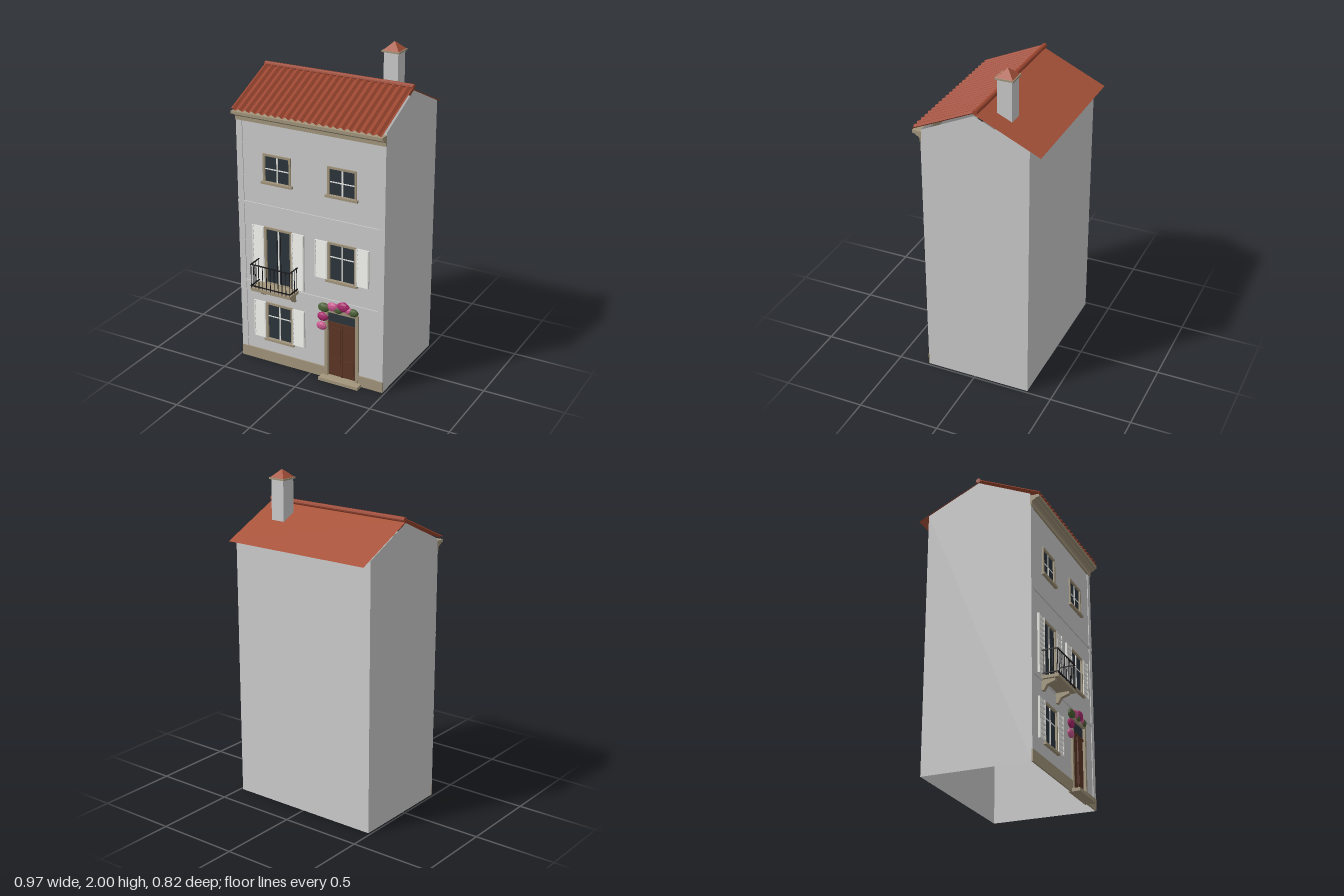
import * as THREE from 'three';

const mat = (color, extra = {}) => new THREE.MeshStandardMaterial({ color, flatShading: true, ...extra });
const wall = mat(0xcccccc, { side: THREE.DoubleSide });
const plaster = mat(0xcccccc);
const white = mat(0xe6e6e2);
const stone = mat(0xa3967c);
const glass = mat(0x2b353d);
const wood = mat(0x5c3624);
const iron = mat(0x1b1b1e);
const clay = mat(0xa8533a, { side: THREE.DoubleSide });
const tile = mat(0x9c4630, { side: THREE.DoubleSide });

const HW = 0.485, FRONT = 0.305, BACK = -0.345, EAVE = 1.62, RIDGE = 1.77, RZ = -0.02;

function add(parent, name, geo, material, x = 0, y = 0, z = 0) {
  const m = new THREE.Mesh(geo, material);
  m.name = name;
  m.position.set(x, y, z);
  parent.add(m);
  return m;
}

// Box given by its limits on each axis
function box(parent, name, material, x0, x1, y0, y1, z0, z1) {
  return add(parent, name, new THREE.BoxGeometry(x1 - x0, y1 - y0, z1 - z0), material,
    (x0 + x1) / 2, (y0 + y1) / 2, (z0 + z1) / 2);
}

function group(parent, name) {
  const g = new THREE.Group();
  g.name = name;
  parent.add(g);
  return g;
}

const rect = (C, x0, x1, y0, y1) => new C([[x0, y0], [x1, y0], [x1, y1], [x0, y1]].map(p => new THREE.Vector2(...p)));

// Extrude a (z, y) outline along x
function alongX(points, x0, x1) {
  const s = new THREE.Shape(points.map(([z, y]) => new THREE.Vector2(-z, y)));
  return new THREE.ExtrudeGeometry(s, { depth: x1 - x0, bevelEnabled: false }).rotateY(Math.PI / 2).translate(x0, 0, 0);
}

// Openings: glass limits, height of the cross bar, and options
const openings = [
  { name: 'upperWindowRight', x: -0.215, y0: 1.192, y1: 1.35, bar: 1.27, sill: true },
  { name: 'upperWindowLeft', x: 0.212, y0: 1.192, y1: 1.35, bar: 1.27, sill: true },
  { name: 'middleWindow', x: 0.212, y0: 0.66, y1: 0.885, bar: 0.805, sill: true, shutters: true },
  { name: 'balconyDoor', x: -0.215, y0: 0.54, y1: 0.89, shutters: true },
  { name: 'groundWindow', x: -0.215, y0: 0.162, y1: 0.392, bar: 0.312, sill: true, shutters: true },
];
const GW = 0.08; // half width of the glass

function addShutter(parent, x, y0, y1) {
  const g = group(parent, 'shutter'), h = 0.04, n = Math.round((y1 - y0) / 0.03);
  box(g, 'shutterPanel', white, x - h, x + h, y0, y1, FRONT, FRONT + 0.006);
  for (const s of [-1, 1]) box(g, 'shutterStile', white, x + s * 0.037 - 0.004, x + s * 0.037 + 0.004, y0, y1, FRONT, FRONT + 0.013);
  for (let i = 0; i < n; i++) {
    const y = y0 + (i + 0.5) * (y1 - y0) / n;
    const slat = add(g, 'shutterSlat', new THREE.BoxGeometry(0.068, (y1 - y0) / n, 0.004), white, x, y, FRONT + 0.008);
    slat.rotation.x = -0.22;
  }
}

function addWindow(parent, o) {
  const g = group(parent, o.name), x0 = o.x - GW, x1 = o.x + GW, w = 0.013;
  box(g, 'glass', glass, x0, x1, o.y0, o.y1, FRONT - 0.008, FRONT - 0.003);
  const s = rect(THREE.Shape, x0 - w, x1 + w, o.y0 - (o.sill ? 0 : 0.004), o.y1 + w);
  s.holes.push(rect(THREE.Path, x0, x1, o.y0 + 0.001, o.y1));
  add(g, 'frame', new THREE.ExtrudeGeometry(s, { depth: 0.014, bevelEnabled: false }), stone, 0, 0, FRONT - 0.006);
  box(g, 'mullion', white, o.x - 0.004, o.x + 0.004, o.y0, o.y1, FRONT - 0.004, FRONT + 0.002);
  if (o.bar) box(g, 'crossBar', white, x0, x1, o.bar - 0.003, o.bar + 0.003, FRONT - 0.004, FRONT + 0.001);
  else for (const s of [-1, 1]) box(g, 'casementStile', iron, o.x + s * 0.012 - 0.002, o.x + s * 0.012 + 0.002, o.y0, o.y1, FRONT - 0.004, FRONT);
  if (o.sill) box(g, 'sill', stone, o.x - 0.104, o.x + 0.104, o.y0 - 0.014, o.y0, FRONT - 0.006, FRONT + 0.018);
  if (o.shutters) for (const s of [-1, 1]) addShutter(g, o.x + s * 0.135, o.y0, o.y1 + 0.01);
}

function addWalls(parent) {
  const g = group(parent, 'walls');
  // Front wall with its openings
  const s = rect(THREE.Shape, -HW, HW, 0, EAVE);
  for (const o of openings) s.holes.push(rect(THREE.Path, o.x - GW, o.x + GW, o.y0, o.y1));
  s.holes.push(rect(THREE.Path, 0.12, 0.305, 0.005, 0.448));
  add(g, 'frontWall', new THREE.ShapeGeometry(s), wall, 0, 0, FRONT);
  const back = add(g, 'backWall', new THREE.PlaneGeometry(2 * HW, EAVE), wall, 0, EAVE / 2, BACK);
  back.rotation.y = Math.PI;
  // Gable ends
  const gable = new THREE.Shape([[-FRONT, 0], [-BACK, 0], [-BACK, EAVE], [-RZ, RIDGE], [-FRONT, EAVE]].map(p => new THREE.Vector2(...p)));
  for (const side of [-1, 1]) {
    const geo = new THREE.ShapeGeometry(gable);
    if (side < 0) geo.scale(-1, 1, 1).index.array.reverse();
    if (side < 0) geo.computeVertexNormals();
    add(g, 'gableWall', geo, wall, side * HW).rotation.y = side * Math.PI / 2;
    // Corner strips
    const a = side * 0.445, b = side * HW;
    box(g, 'cornerStrip', plaster, Math.min(a, b), Math.max(a, b), 0.07, 1.545, FRONT - 0.001, FRONT + 0.005);
  }
  for (const y of [0.51, 1.025]) box(g, 'floorBand', plaster, -HW, HW, y, y + 0.018, FRONT - 0.001, FRONT + 0.007);
  box(g, 'plinth', stone, -HW, 0.1, 0, 0.07, FRONT - 0.001, FRONT + 0.008);
  box(g, 'plinth', stone, 0.325, HW, 0, 0.07, FRONT - 0.001, FRONT + 0.008);
  add(g, 'cornice', alongX([[FRONT, 1.543], [0.316, 1.543], [0.316, 1.565], [0.325, 1.575], [0.34, 1.58],
    [0.34, 1.585], [0.36, 1.59], [0.36, 1.606], [FRONT, 1.606]], -HW, HW), stone);
}

function addRoof(parent) {
  const g = group(parent, 'roof');
  // Corrugated front slope
  const n = 22, dz = 0.382, dy = 0.172, geo = new THREE.PlaneGeometry(2 * HW, Math.hypot(dz, dy), n * 6, 1);
  const p = geo.attributes.position;
  for (let i = 0; i < p.count; i++) {
    const t = (p.getX(i) / (2 * HW) + 0.5) * n;
    p.setZ(i, 0.008 * Math.sin(2 * Math.PI * t));
  }
  geo.computeVertexNormals();
  add(g, 'frontTiles', geo, tile, 0, 1.79 - dy / 2, RZ + dz / 2).rotation.x = -Math.atan2(dz, dy);
  // Plain back slope and ridge
  const bz = 0.39, by = 0.18;
  add(g, 'backSlope', new THREE.PlaneGeometry(2 * HW, Math.hypot(bz, by)), clay, 0, 1.777 - by / 2, RZ - bz / 2)
    .rotation.set(-Math.PI / 2 - Math.atan2(by, bz), 0, 0);
  add(g, 'ridgeTile', new THREE.CylinderGeometry(0.015, 0.015, 2 * HW, 10).rotateZ(Math.PI / 2), tile, 0, 1.789, -0.025);
  // Chimney
  box(g, 'chimneyStack', plaster, 0.26, 0.35, 1.66, 1.942, -0.183, -0.093);
  box(g, 'chimneyCap', stone, 0.25, 0.36, 1.942, 1.952, -0.193, -0.083);
  add(g, 'chimneyRoof', new THREE.ConeGeometry(0.05 * Math.SQRT2, 0.048, 4).rotateY(Math.PI / 4), clay, 0.305, 1.976, -0.138);
}

function addDoor(parent) {
  const g = group(parent, 'frontDoor');
  box(g, 'doorLeaf', wood, 0.12, 0.305, 0.02, 0.375, FRONT - 0.012, FRONT - 0.004);
  for (const x of [0.166, 0.259]) for (const [y0, y1] of [[0.05, 0.14], [0.165, 0.345]])
    box(g, 'doorPanel', wood, x - 0.032, x + 0.032, y0, y1, FRONT - 0.006, FRONT);
  box(g, 'doorMeetingStile', wood, 0.208, 0.217, 0.02, 0.375, FRONT - 0.006, FRONT + 0.002);
  box(g, 'transomBar', wood, 0.12, 0.305, 0.37, 0.382, FRONT - 0.008, FRONT + 0.003);
  box(g, 'transomGlass', glass, 0.12, 0.305, 0.38, 0.45, FRONT - 0.01, FRONT - 0.004);
  const s = rect(THREE.Shape, 0.1, 0.325, 0.02, 0.468);
  s.holes.push(rect(THREE.Path, 0.12, 0.305, 0.021, 0.448));
  add(g, 'doorFrame', new THREE.ExtrudeGeometry(s, { depth: 0.02, bevelEnabled: false }), stone, 0, 0, FRONT - 0.008);
  box(g, 'doorStep', stone, 0.08, 0.345, 0, 0.02, FRONT - 0.012, 0.362);
}

function addBalcony(parent) {
  const g = group(parent, 'balcony'), x0 = -0.348, x1 = -0.082, z1 = 0.406, top = 0.69, r = 0.003;
  box(g, 'balconySlab', stone, x0 - 0.003, x1 + 0.003, 0.516, 0.534, FRONT, 0.41);
  for (const x of [-0.322, -0.112])
    add(g, 'balconyBracket', alongX([[FRONT, 0.455], [0.318, 0.455], [0.335, 0.485], [0.385, 0.503], [0.385, 0.516], [FRONT, 0.516]], x - 0.013, x + 0.013), stone);
  // Handrail and lower rail on three sides
  for (const y of [0.548, top - r]) {
    box(g, 'frontRail', iron, x0 - r, x1 + r, y - r, y + r, z1 - r, z1 + r);
    for (const x of [x0, x1]) box(g, 'sideRail', iron, x - r, x + r, y - r, y + r, FRONT, z1);
  }
  const bar = (x, z) => add(g, 'baluster', new THREE.CylinderGeometry(0.0022, 0.0022, top - 0.534, 6), iron, x, (top + 0.534) / 2, z);
  for (let i = 0; i <= 10; i++) bar(x0 + (x1 - x0) * i / 10, z1);
  for (const x of [x0, x1]) for (let i = 1; i <= 3; i++) bar(x, z1 - i * 0.027);
}

// Faceted blossoms and leaves around the door head
function addFlowers(parent) {
  const g = group(parent, 'climbingFlowers');
  const pink = mat(0xc9588f), magenta = mat(0xa82a6c), leaf = mat(0x4c6236);
  const clumps = [
    [0.08, 0.345, 0.036, pink], [0.087, 0.408, 0.038, magenta], [0.095, 0.47, 0.04, leaf],
    [0.155, 0.487, 0.038, pink], [0.225, 0.502, 0.042, magenta], [0.19, 0.475, 0.032, leaf],
    [0.29, 0.48, 0.034, leaf], [0.262, 0.484, 0.03, pink],
  ];
  clumps.forEach(([x, y, r, m], i) => {
    const geo = new THREE.IcosahedronGeometry(r, 1).rotateZ(i * 1.3).scale(1, 0.75, 0.5);
    add(g, m === leaf ? 'leafClump' : 'blossom', geo, m, x, y, FRONT + 0.008);
  });
}

export function createModel() {
  const house = new THREE.Group();
  house.name = 'townHouse';
  addWalls(house);
  const windows = group(house, 'windows');
  for (const o of openings) addWindow(windows, o);
  addRoof(house);
  addDoor(house);
  addBalcony(house);
  addFlowers(house);
  return house;
}
